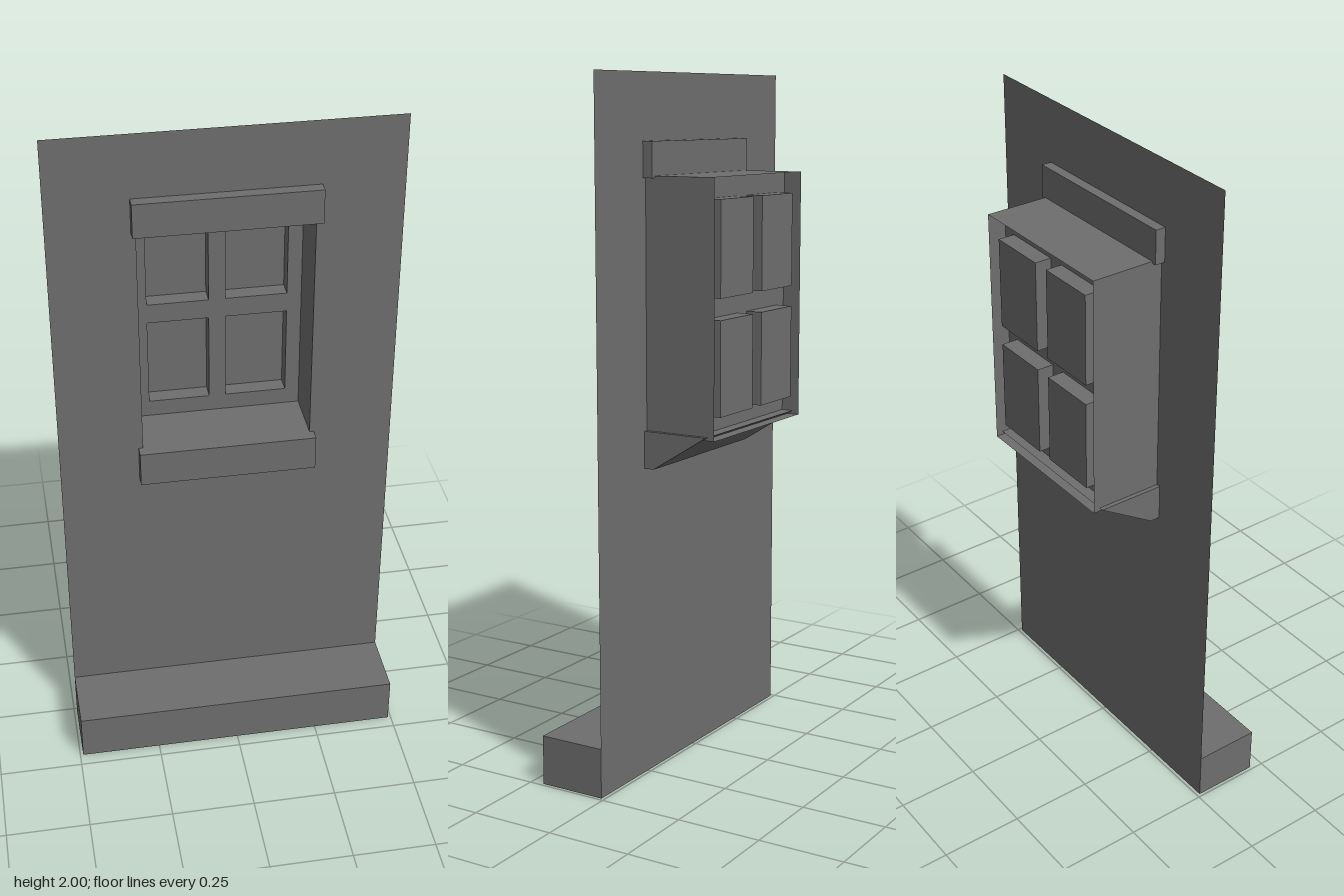
import * as THREE from 'three';
import { mergeGeometries } from 'three/addons/utils/BufferGeometryUtils.js';

const material = new THREE.MeshStandardMaterial({ color: 0x6e6e6e, side: THREE.DoubleSide, flatShading: true });

// Key depths and the window opening
const WALL_Z = 0.01, FRAME_Z = -0.155, PANE_Z = -0.205, BACK_Z = -0.21;
const OPENING = { x0: -0.247, x1: 0.247, y0: 1.0, y1: 1.72 };
const PANES = [];
for (const [x0, x1] of [[-0.205, -0.025], [0.025, 0.205]])
  for (const [y0, y1] of [[1.06, 1.33], [1.39, 1.66]]) PANES.push({ x0, x1, y0, y1 });

function trace(path, { x0, x1, y0, y1 }) {
  path.moveTo(x0, y0);
  path.lineTo(x1, y0);
  path.lineTo(x1, y1);
  path.lineTo(x0, y1);
  path.closePath();
  return path;
}

// Flat sheet facing the front, with rectangular holes
function sheet(rect, z, holes = []) {
  const shape = trace(new THREE.Shape(), rect);
  shape.holes = holes.map((h) => trace(new THREE.Path(), h));
  return new THREE.ShapeGeometry(shape).translate(0, 0, z);
}

// Four thin sides joining a rectangle at zFront to the same one at zBack
function sleeve({ x0, x1, y0, y1 }, zFront, zBack) {
  const w = x1 - x0, h = y1 - y0, d = zFront - zBack;
  const cx = (x0 + x1) / 2, cy = (y0 + y1) / 2, cz = (zFront + zBack) / 2;
  return mergeGeometries([
    new THREE.PlaneGeometry(d, h).rotateY(Math.PI / 2).translate(x0, cy, cz),
    new THREE.PlaneGeometry(d, h).rotateY(-Math.PI / 2).translate(x1, cy, cz),
    new THREE.PlaneGeometry(w, d).rotateX(-Math.PI / 2).translate(cx, y0, cz),
    new THREE.PlaneGeometry(w, d).rotateX(Math.PI / 2).translate(cx, y1, cz),
  ]);
}

export function createModel() {
  const group = new THREE.Group();
  const add = (name, geometry) => {
    const mesh = new THREE.Mesh(geometry, material);
    mesh.name = name;
    group.add(mesh);
  };

  // Thin wall with the window opening
  add('wall', sheet({ x0: -0.491, x1: 0.491, y0: 0, y1: 2 }, WALL_Z, [OPENING]));

  // Plinth, open underneath and against the wall
  const plinthW = 0.982, plinthH = 0.145, plinthD = 0.2, midZ = WALL_Z + plinthD / 2;
  add('plinth', mergeGeometries([
    new THREE.PlaneGeometry(plinthW, plinthH).translate(0, plinthH / 2, WALL_Z + plinthD),
    new THREE.PlaneGeometry(plinthW, plinthD).rotateX(-Math.PI / 2).translate(0, plinthH, midZ),
    ...[-1, 1].map((s) => new THREE.PlaneGeometry(plinthD, plinthH)
      .rotateY(s * Math.PI / 2).translate(s * plinthW / 2, plinthH / 2, midZ)),
  ]));

  // Deep window box behind the wall
  add('windowReveal', sleeve(OPENING, WALL_Z, BACK_Z));
  add('windowFrame', sheet(OPENING, FRAME_Z, PANES));

  // Recessed panes
  for (const pane of PANES)
    add('windowPane', mergeGeometries([sheet(pane, PANE_Z), sleeve(pane, FRAME_Z, PANE_Z)]));

  // Lintel
  add('lintel', new THREE.BoxGeometry(0.52, 0.1, 0.065).translate(0, 1.764, 0.0125));

  // Sill with a sloping underside; profile is drawn as (-z, y)
  const profile = new THREE.Shape([[-0.045, 0.903], [0.02, 0.903], [0.19, 1.01], [-0.045, 1.01]]
    .map(([x, y]) => new THREE.Vector2(x, y)));
  add('sill', new THREE.ExtrudeGeometry(profile, { depth: 0.52, bevelEnabled: false })
    .translate(0, 0, -0.26).rotateY(Math.PI / 2));

  return group;
}
